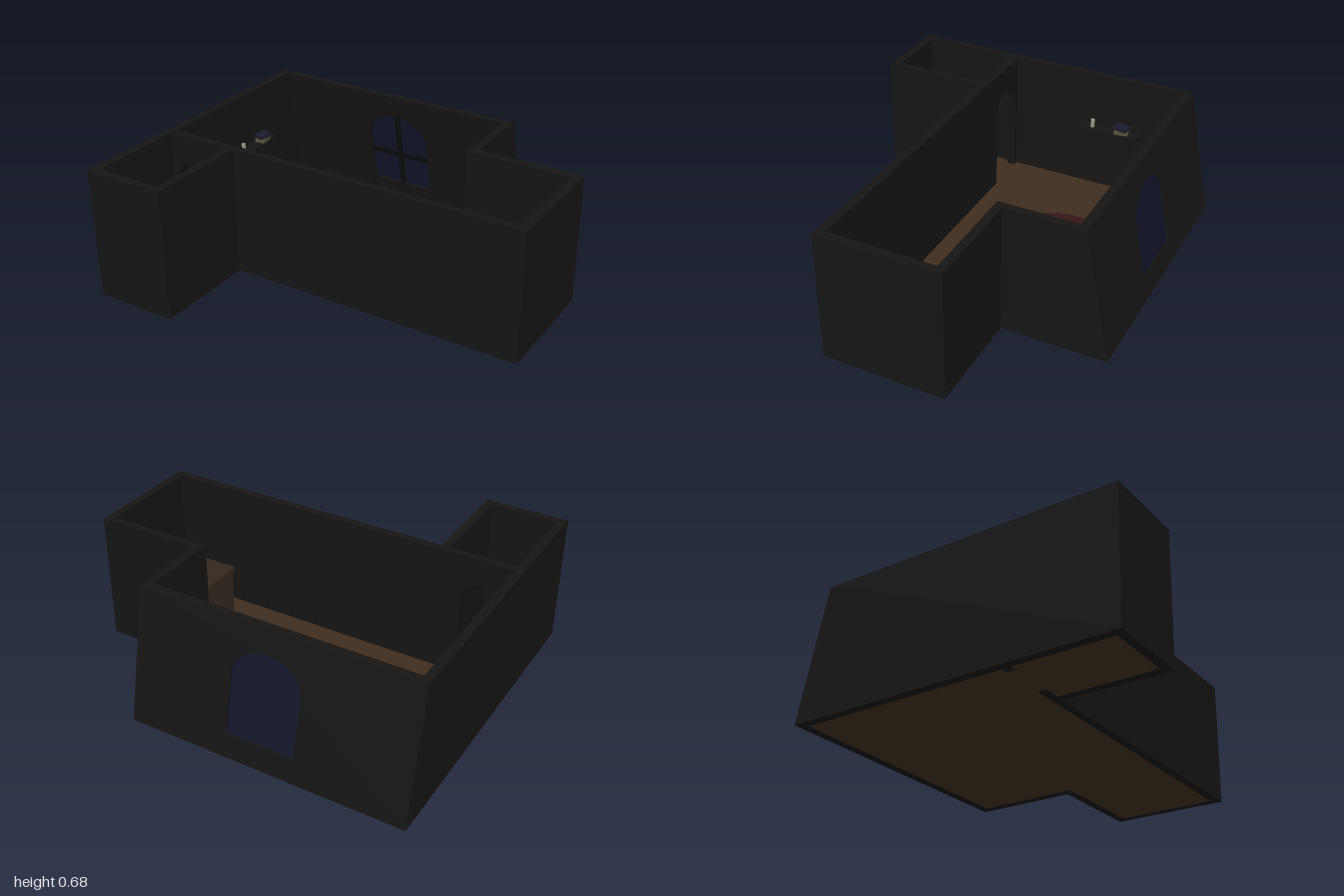
import * as THREE from 'three';

const H = 0.68, T = 0.044;          // wall height and thickness
const LEAN = 0.14 / H;              // inward lean of the back wall

const mat = (color) => new THREE.MeshStandardMaterial({ color });
const wallMat = mat(0x161514), floorMat = mat(0x3f2d1e), rugMat = mat(0x351615);
const glassMat = mat(0x12142a), frameMat = mat(0x0c0b0b), woodMat = mat(0x33281f);
const candleMat = mat(0x99988a), bookMat = mat(0x1b1b30), pageMat = mat(0x55523c);

export function createModel() {
  const room = new THREE.Group();
  room.name = 'room';

  const add = (name, geometry, material, parent = room) => {
    const mesh = new THREE.Mesh(geometry, material);
    mesh.name = name;
    parent.add(mesh);
    return mesh;
  };
  // Box given by its limits on each axis
  const block = (name, x0, x1, y0, y1, z0, z1, material = wallMat, parent = room) => {
    const mesh = add(name, new THREE.BoxGeometry(x1 - x0, y1 - y0, z1 - z0), material, parent);
    mesh.position.set((x0 + x1) / 2, (y0 + y1) / 2, (z0 + z1) / 2);
    return mesh;
  };
  const polygon = (points) => new THREE.Shape(points.map(([x, y]) => new THREE.Vector2(x, y)));
  const extrude = (shape, depth) =>
    new THREE.ExtrudeGeometry(shape, { depth, bevelEnabled: false, curveSegments: 24 });
  // Upright outline with a rounded top
  const arch = (cx, halfWidth, y0, spring, rise) => {
    const s = new THREE.Shape();
    s.moveTo(cx - halfWidth, y0);
    s.lineTo(cx + halfWidth, y0);
    s.lineTo(cx + halfWidth, spring);
    s.absellipse(cx, spring, halfWidth, rise, 0, Math.PI, false);
    s.lineTo(cx - halfWidth, y0);
    return s;
  };
  // Tilts an upright part into the plane of the leaning back wall
  const lean = (geometry, z) => {
    const shear = new THREE.Matrix4().set(1, 0, 0, 0, 0, 1, 0, 0, 0, LEAN, 1, z, 0, 0, 0, 1);
    geometry.applyMatrix4(shear);
    geometry.computeVertexNormals();
    return geometry;
  };

  // Leaning back wall with arched window
  const back = polygon([[-1, 0], [0.45, 0], [0.45, H], [-1, H]]);
  back.holes.push(arch(-0.25, 0.18, 0.12, 0.42, 0.14));
  add('backWall', lean(extrude(back, T), -0.864), wallMat);
  add('windowGlass', lean(extrude(arch(-0.25, 0.18, 0.12, 0.42, 0.14), 0.01), -0.853), glassMat);
  const bar = (name, w, h, y) => {
    const g = new THREE.BoxGeometry(w, h, 0.02);
    g.translate(-0.25, y, 0);
    add(name, lean(g, -0.835), frameMat);
  };
  bar('windowUpright', 0.025, 0.44, 0.34);
  bar('windowCrossbar', 0.36, 0.025, 0.31);

  // Side walls whose back edge follows the lean
  const sideWall = (name, x0, zEnd) => {
    const z0 = -0.864 + T;
    const g = extrude(polygon([[-zEnd, 0], [-z0, 0], [-z0 - LEAN * H, H], [-zEnd, H]]), T);
    g.rotateY(Math.PI / 2);
    const mesh = add(name, g, wallMat);
    mesh.position.x = x0;
  };
  sideWall('rightLongWall', -1, 0.864);
  sideWall('leftShortWall', 0.45 - T, -0.276);

  // Alcove walls
  block('alcoveBackWall', 0.45, 1, 0, H, -0.32, -0.32 + T);
  block('alcoveSideWall', 1 - T, 1, 0, H, -0.32 + T, 0.316 - T);

  // Front wall with arched doorway into the small room
  const front = polygon([[-1 + T, 0], [-0.925, 0], [-0.925, 0.43]]);
  front.absellipse(-0.81, 0.43, 0.115, 0.12, Math.PI, 0, true);
  for (const [x, y] of [[-0.695, 0], [1, 0], [1, H], [-1 + T, H]]) front.lineTo(x, y);
  add('frontWall', extrude(front, T), wallMat).position.z = 0.316 - T;

  // Small front room
  block('smallRoomSideWall', -0.566 - T, -0.566, 0, H, 0.316, 0.864);
  block('smallRoomFrontWall', -1 + T, -0.566 - T, 0, H, 0.864 - T, 0.864);

  // Floor, ending inside the walls
  const floor = extrude(polygon([
    [-0.98, 0.84], [0.43, 0.84], [0.43, 0.3], [0.98, 0.3],
    [0.98, -0.296], [-0.586, -0.296], [-0.586, -0.84], [-0.98, -0.84],
  ]), 0.005);
  floor.rotateX(-Math.PI / 2);
  add('floor', floor, floorMat).position.y = 0.002;

  // Round rug
  add('rug', new THREE.CylinderGeometry(0.305, 0.305, 0.004, 64), rugMat)
    .position.set(-0.275, 0.009, -0.275);

  // Chest in the alcove
  const chest = new THREE.Group();
  chest.name = 'chest';
  room.add(chest);
  block('chestBody', 0.575, 0.785, 0.006, 0.25, -0.205, 0.175, woodMat, chest);
  block('chestLid', 0.567, 0.793, 0.25, 0.275, -0.212, 0.182, woodMat, chest);

  // Wall shelf with brackets, candle and books
  const shelf = new THREE.Group();
  shelf.name = 'shelf';
  room.add(shelf);
  block('shelfBoard', -1 + T, -0.888, 0.36, 0.385, -0.475, -0.14, wallMat, shelf);
  for (const z of [-0.43, -0.2]) {
    block('shelfBracket', -1 + T, -0.91, 0.3, 0.36, z, z + 0.015, wallMat, shelf);
  }
  add('candle', new THREE.CylinderGeometry(0.011, 0.011, 0.045, 16), candleMat, shelf)
    .position.set(-0.918, 0.4075, -0.205);
  [[0.398, 0.15, pageMat], [0.42, -0.2, bookMat]].forEach(([y, turn, m]) => {
    const book = add('book', new THREE.BoxGeometry(0.055, 0.022, 0.075), m, shelf);
    book.position.set(-0.915, y, -0.375);
    book.rotation.y = turn;
  });

  return room;
}
